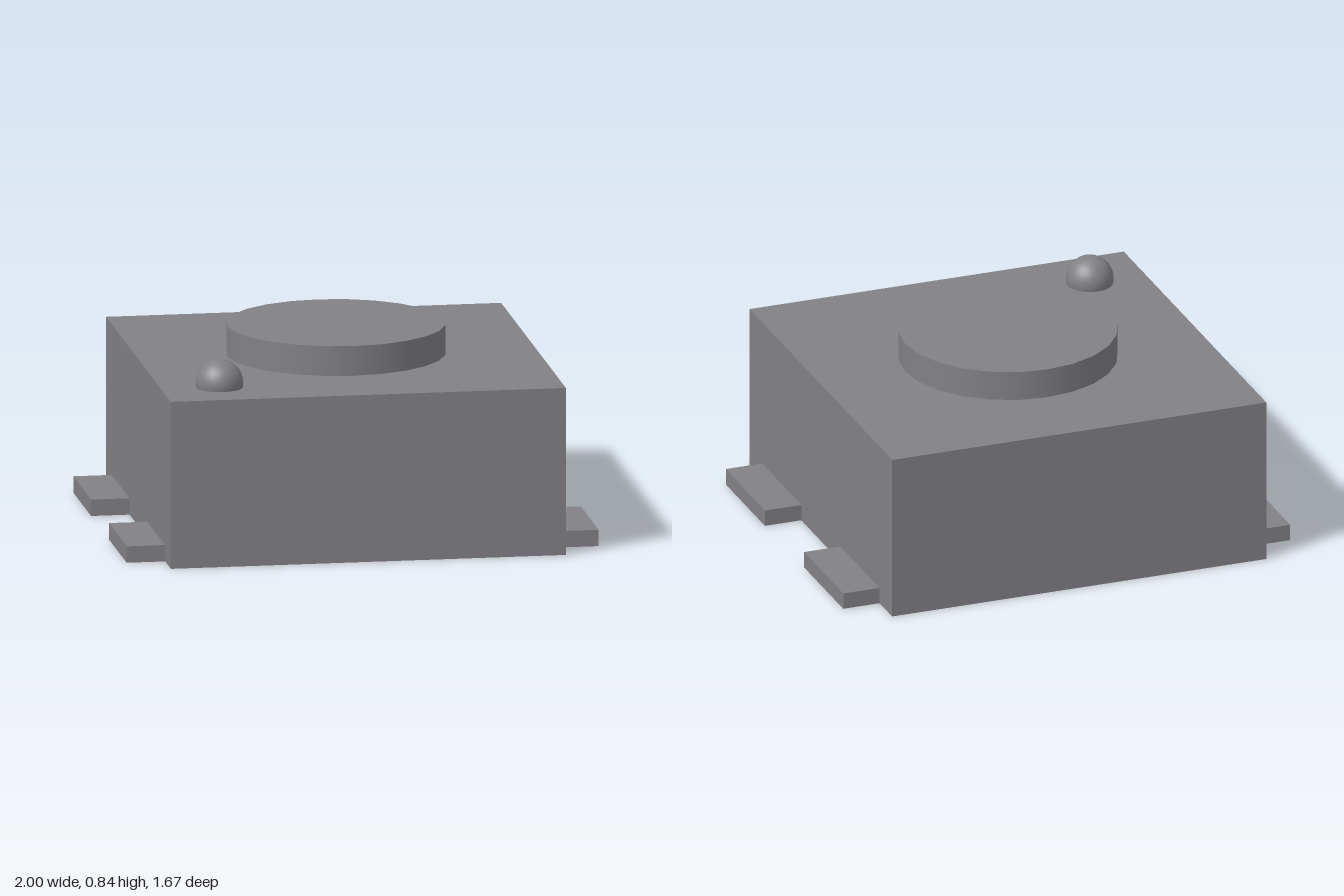
import * as THREE from 'three';

export function createModel() {
  const model = new THREE.Group();
  model.name = 'pushButtonSwitch';

  const grey = new THREE.MeshStandardMaterial({ color: 0x808086 });
  grey.name = 'grey';

  const add = (name, geometry, x, y, z) => {
    const mesh = new THREE.Mesh(geometry, grey);
    mesh.name = name;
    mesh.position.set(x, y, z);
    model.add(mesh);
  };

  const half = 0.837;      // half width of the square housing
  const top = 0.715;       // height of the housing
  const buttonTop = 0.842;
  const padHeight = 0.07;

  // Square housing
  add('housing', new THREE.BoxGeometry(half * 2, top, half * 2), 0, top / 2, 0);

  // Round push button
  const buttonHeight = buttonTop - top;
  add('button', new THREE.CylinderGeometry(0.46, 0.46, buttonHeight, 24), 0, top + buttonHeight / 2, 0);

  // Ball marking the first contact, partly sunk into the housing
  add('markerBall', new THREE.SphereGeometry(0.1, 24, 16), -0.59, 0.735, 0.587);

  // Four contact pads, two on each side
  for (const [side, sx] of [['left', 1], ['right', -1]]) {
    for (const [end, sz] of [['Front', 1], ['Back', -1]]) {
      add(`${side}${end}Contact`, new THREE.BoxGeometry(1 - half, padHeight, 0.46),
        sx * (1 + half) / 2, padHeight / 2, sz * 0.46);
    }
  }

  return model;
}
